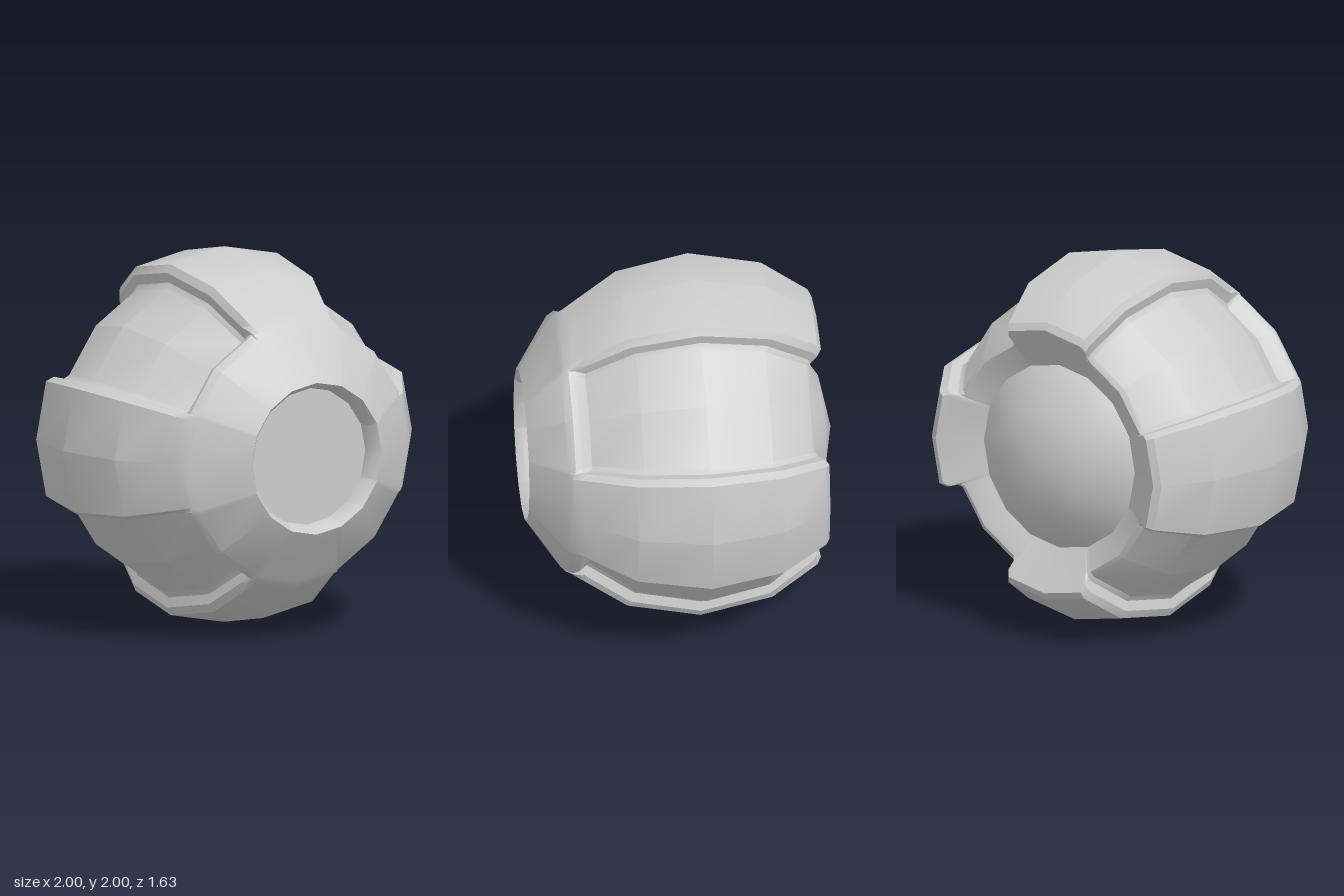
import * as THREE from 'three';
import { toCreasedNormals } from 'three/addons/utils/BufferGeometryUtils.js';

const MID_Z = -0.09; // centre of the sphere along its axis
const rad = THREE.MathUtils.degToRad;

// Profiles as [radius, z], front to back, with matching rows.
const frontRows = [[0.365, 0.72], [0.375, 0.78], [0.404, 0.82], [0.675, 0.64]];
const armProfile = [
  ...frontRows,
  [0.707, 0.617], [0.74, 0.568], [0.779, 0.51],           // plain sphere
  [0.924, 0.293], [1, MID_Z], [0.924, -0.473],
  [0.76, -0.715], [0.72, -0.735], [0.66, -0.7], [0.49, -0.6], // back lip and funnel
];
const floorProfile = [
  ...frontRows,
  [0.7, 0.6], [0.69, 0.565], [0.648, 0.51],               // front wall of the recess
  [0.822, 0.25], [0.89, MID_Z], [0.822, -0.43],
  [0.66, -0.655], [0.63, -0.67], [0.6, -0.66], [0.49, -0.6],
];

// One quarter turn: [angle, blend from arm (0) to recessed floor (1)]
const wall = [[19.5, 0], [21.7, 0.35], [22.2, 0.85], [24, 1]];
const quarter = [
  [0, 0], ...wall, [45, 1],
  ...wall.map(([a, w]) => [90 - a, w]).reverse(),
];

// Keeps in-between columns on the flats of a 16-sided ring
const flat16 = (deg) => Math.cos(rad(11.25)) / Math.cos(rad((deg % 22.5) - 11.25));

function shellGeometry() {
  const columns = [];
  for (let q = 0; q < 4; q++) {
    for (const [a, w] of quarter) columns.push([a + q * 90, w]);
  }
  const n = columns.length;
  const positions = [];
  const index = [];
  armProfile.forEach(([ra, za], i) => {
    const [rf, zf] = floorProfile[i];
    columns.forEach(([deg, w], j) => {
      const r = THREE.MathUtils.lerp(ra, rf, w) * flat16(deg);
      const z = THREE.MathUtils.lerp(za, zf, w);
      positions.push(r * Math.cos(rad(deg)), r * Math.sin(rad(deg)), z);
      if (i === armProfile.length - 1) return;
      const a = i * n + j;
      const b = i * n + ((j + 1) % n);
      index.push(a, a + n, b + n, a, b + n, b);
    });
  });
  const geometry = new THREE.BufferGeometry();
  geometry.setAttribute('position', new THREE.Float32BufferAttribute(positions, 3));
  geometry.setIndex(index);
  return toCreasedNormals(geometry, 0.5);
}

export function createModel() {
  const group = new THREE.Group();
  group.name = 'sphericalPod';
  const material = new THREE.MeshStandardMaterial({ color: 0xcccccc });
  const shellMaterial = new THREE.MeshStandardMaterial({ color: 0xcccccc, side: THREE.DoubleSide });

  function add(name, geometry, z, mat = material) {
    const mesh = new THREE.Mesh(geometry, mat);
    mesh.name = name;
    mesh.position.set(0, 1, z);
    group.add(mesh);
  }

  // Outer shell: four raised arms with four recessed panels between them
  add('outerShell', shellGeometry(), 0, shellMaterial);

  // Flat plate sunk into the front opening
  add('frontPlate', new THREE.CircleGeometry(0.367, 16), 0.72);

  // Inner ball bulging out of the back opening
  add('innerBall', new THREE.SphereGeometry(0.72, 16, 8).rotateX(Math.PI / 2), MID_Z);

  return group;
}
